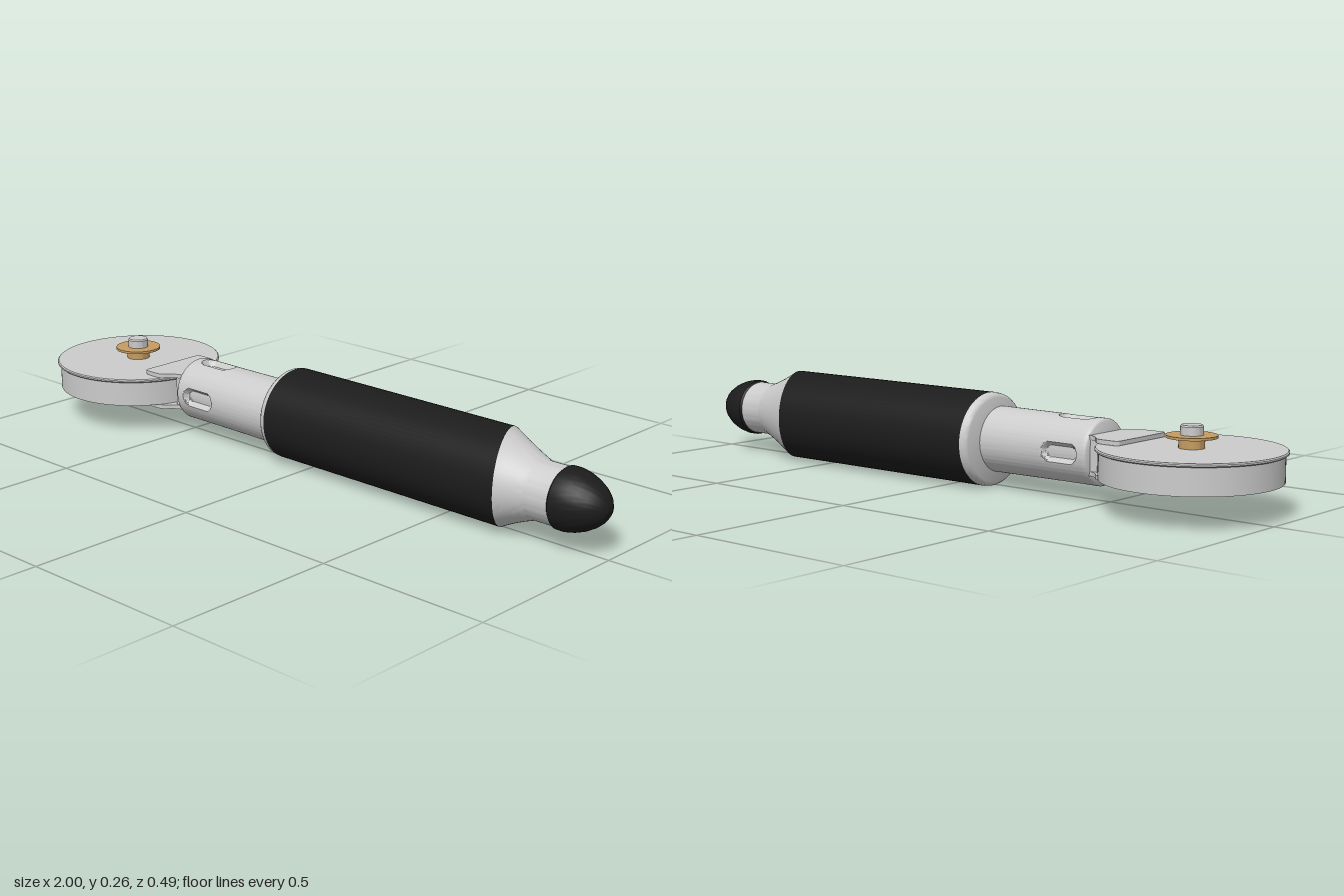
import * as THREE from 'three';
import { toCreasedNormals } from 'three/addons/utils/BufferGeometryUtils.js';

const AXIS_Y = 0.134;
const WHEEL_X = -0.753;
const grey = new THREE.MeshStandardMaterial({ color: 0xcccccc });
const black = new THREE.MeshStandardMaterial({ color: 0x1c1c1c });
const brass = new THREE.MeshStandardMaterial({ color: 0xc69c62 });

// Skin round sections [x, radius, centreZ, slant] along x; slant shears a ring in x by its z
function loft(sections, segs = 64, dent = () => 0) {
  const pos = [], idx = [];
  sections.forEach(([x, r, cz = 0, slant = 0], i) => {
    for (let j = 0; j < segs; j++) {
      const t = (j / segs) * Math.PI * 2;
      const rr = r - (r > 0 ? dent(x, t, r) : 0);
      const z = rr * Math.sin(t);
      pos.push(x + slant * z, AXIS_Y + rr * Math.cos(t), cz + z);
      if (i === 0) continue;
      const k = (j + 1) % segs, a = (i - 1) * segs, b = i * segs;
      idx.push(a + j, a + k, b + j, a + k, b + k, b + j);
    }
  });
  const g = new THREE.BufferGeometry();
  g.setAttribute('position', new THREE.Float32BufferAttribute(pos, 3));
  g.setIndex(idx);
  return toCreasedNormals(g, 0.6);
}

// Profile points [radius, y] turned about the wheel axle
function turned(points, segs = 64) {
  const g = new THREE.LatheGeometry(points.map(p => new THREE.Vector2(...p)), segs);
  return toCreasedNormals(g, 0.6).translate(WHEEL_X, 0, 0);
}

// Four capsule-shaped hollows pressed into the sleeve
function slotDent(x, t, r) {
  const quarter = Math.PI / 2;
  const arc = (t - Math.round(t / quarter) * quarter) * r;
  const along = Math.max(0, Math.abs(x + 0.393) - 0.032);
  const d = Math.hypot(along, arc);
  return 0.018 * (1 - THREE.MathUtils.smoothstep(d, 0.019, 0.028));
}

export function createModel() {
  const model = new THREE.Group();
  const add = (name, geometry, material) => {
    const mesh = new THREE.Mesh(geometry, material);
    mesh.name = name;
    model.add(mesh);
    return mesh;
  };

  // Handle: collar, black grip cut off at a slant, offset cone and rubber tip
  const cz = -0.022;
  add('collar', loft([
    [-0.122, 0, cz], [-0.122, 0.117, cz], [-0.119, 0.124, cz], [-0.112, 0.129, cz], [-0.1, 0.131, cz],
  ]), grey);
  add('grip', loft([[-0.1, 0.131, cz], [0.664, 0.131, cz, 0.38]]), black);
  const cone = [];
  for (let i = 0; i <= 10; i++) {
    const s = i / 10;
    const ease = 1.2 * s - 0.2 * s * s;
    cone.push([0.664 + 0.126 * s, 0.131 - 0.052 * ease, cz * (1 - ease), 0.38 * (1 - s)]);
  }
  add('cone', loft([...cone, [0.87, 0.079]]), grey);
  add('tip', loft([
    [0.86, 0], [0.86, 0.079], [0.865, 0.084], [0.885, 0.084], [0.91, 0.079], [0.935, 0.07],
    [0.96, 0.056], [0.978, 0.041], [0.99, 0.025], [0.996, 0.012], [0.998, 0],
  ]), black);

  // Sleeve between handle and fork
  const sleeve = [[-0.482, 0], [-0.482, 0.084], [-0.479, 0.089]];
  for (let i = 0; i <= 36; i++) sleeve.push([-0.475 + i * 0.0045, 0.091]);
  sleeve.push([-0.12, 0.092]);
  add('sleeve', loft(sleeve, 144, slotDent), grey);

  // Fork: two rounded plates joined by a block
  const plate = new THREE.Shape();
  plate.moveTo(-0.47, -0.07);
  plate.lineTo(-0.485, -0.07);
  plate.quadraticCurveTo(-0.505, -0.075, -0.52, -0.095);
  plate.quadraticCurveTo(-0.53, -0.108, -0.55, -0.109);
  plate.lineTo(-0.585, -0.109);
  plate.quadraticCurveTo(-0.6, -0.109, -0.6, -0.094);
  plate.lineTo(-0.6, 0.094);
  plate.quadraticCurveTo(-0.6, 0.109, -0.585, 0.109);
  plate.lineTo(-0.55, 0.109);
  plate.quadraticCurveTo(-0.53, 0.108, -0.52, 0.095);
  plate.quadraticCurveTo(-0.505, 0.075, -0.485, 0.07);
  plate.lineTo(-0.47, 0.07);
  const plateGeometry = toCreasedNormals(
    new THREE.ExtrudeGeometry(plate, { depth: 0.012, bevelEnabled: false, curveSegments: 8 }), 0.6);
  plateGeometry.rotateX(-Math.PI / 2);
  add('upperForkPlate', plateGeometry, grey).position.y = 0.176;
  add('lowerForkPlate', plateGeometry, grey).position.y = 0.08;
  add('forkBlock', new THREE.BoxGeometry(0.035, 0.1, 0.136), grey).position.set(-0.488, AXIS_Y, 0);

  // Wheel: drum with a thin overhanging rim on top
  add('wheel', turned([
    [0, 0.092], [0.238, 0.092], [0.238, 0.165], [0.244, 0.165], [0.247, 0.168],
    [0.247, 0.172], [0.244, 0.175], [0, 0.175],
  ], 96), grey);

  // Axle with a washer above and below
  add('upperSpacer', turned([[0.034, 0.17], [0.034, 0.204]], 32), brass);
  add('lowerSpacer', turned([[0.034, 0.07], [0.034, 0.096]], 32), brass);
  add('upperWasher', turned([[0, 0.202], [0.067, 0.202], [0.067, 0.209], [0, 0.209]], 48), brass);
  add('lowerWasher', turned([[0, 0.064], [0.067, 0.064], [0.067, 0.071], [0, 0.071]], 48), brass);
  add('axleHead', turned([[0.03, 0.205], [0.03, 0.231], [0.027, 0.235], [0, 0.235]], 32), grey);

  return model;
}
